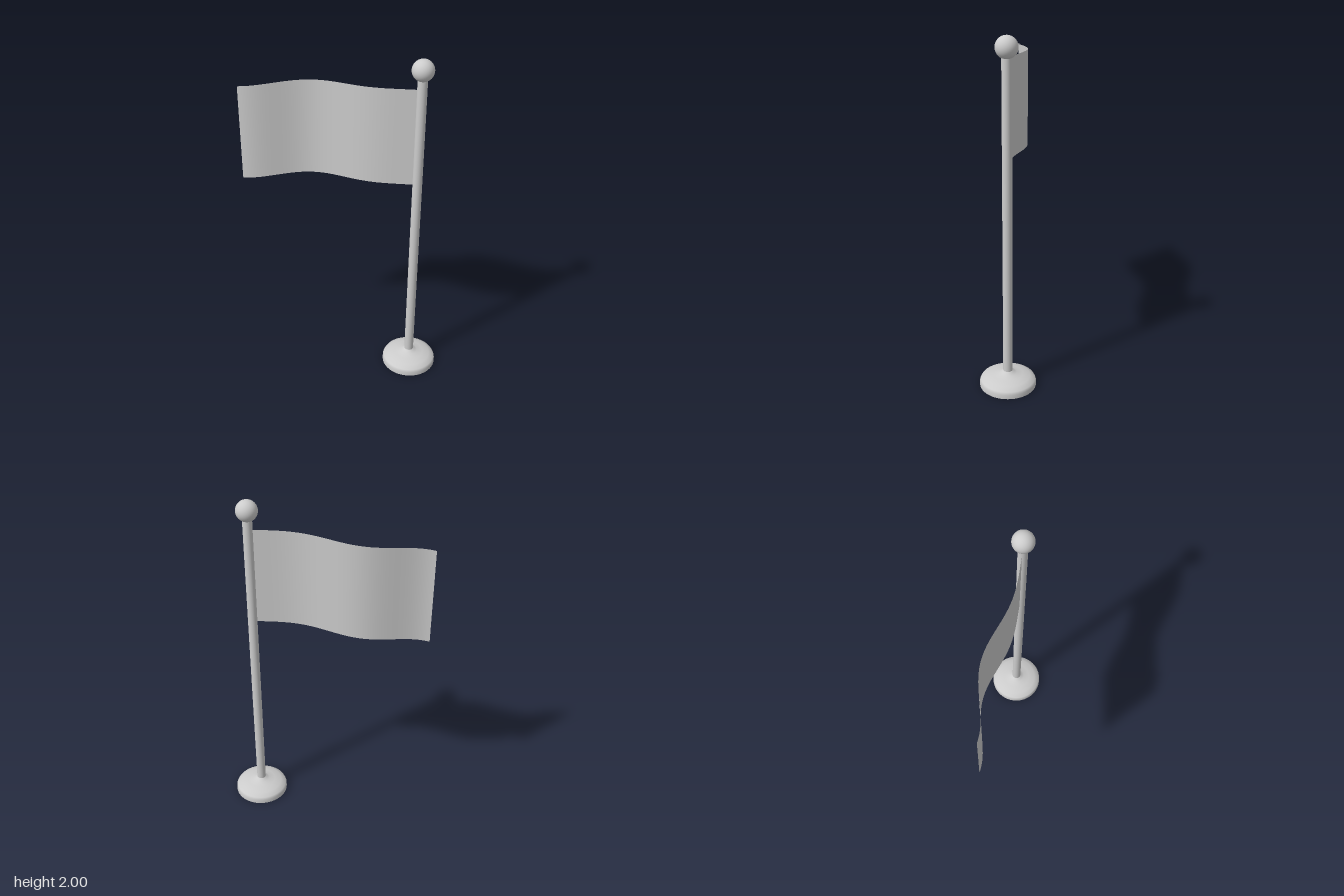
import * as THREE from 'three';

const POLE_X = 0.42;

export function createModel() {
  const model = new THREE.Group();
  const grey = new THREE.MeshStandardMaterial({ color: 0xcccccc, side: THREE.DoubleSide });
  grey.name = 'plain grey';

  const add = (name, geometry, x, y) => {
    const mesh = new THREE.Mesh(geometry, grey);
    mesh.name = name;
    mesh.position.set(x, y, 0);
    model.add(mesh);
  };

  // Hollow domed foot, open underneath
  const profile = [[0.16, 0], [0.16, 0.025], [0.153, 0.04], [0.125, 0.057],
    [0.085, 0.067], [0.05, 0.075], [0.035, 0.085], [0.026, 0.092]];
  add('base', new THREE.LatheGeometry(profile.map(([r, y]) => new THREE.Vector2(r, y)), 48), POLE_X, 0);

  // Pole and ball finial
  add('pole', new THREE.CylinderGeometry(0.027, 0.027, 1.83, 32), POLE_X, 0.065 + 1.83 / 2);
  add('finial', new THREE.SphereGeometry(0.06, 40, 24), POLE_X, 1.94);

  // Cloth: a growing wave along its length, sagging toward the free end
  const cloth = new THREE.PlaneGeometry(0.98, 0.568, 48, 1);
  const pos = cloth.attributes.position;
  for (let i = 0; i < pos.count; i++) {
    const d = 0.02 + 0.49 - pos.getX(i); // distance from the pole axis
    pos.setX(i, -d);
    pos.setY(i, pos.getY(i) - 0.068 * d * d);
    pos.setZ(i, (0.012 + 0.046 * d) * Math.sin(8.1 * d));
  }
  cloth.computeVertexNormals();
  add('flag', cloth, POLE_X, 1.547);

  return model;
}
